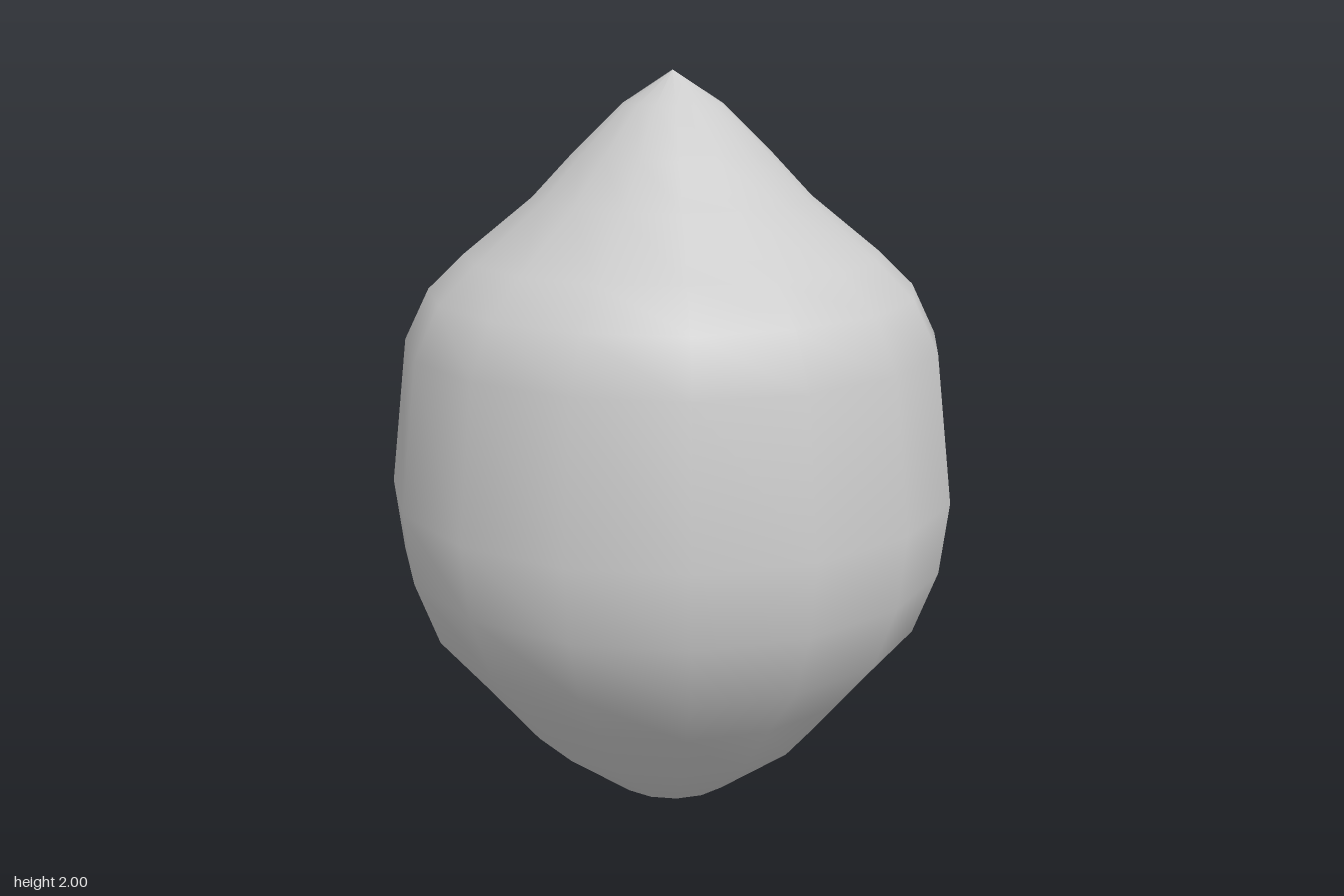
import * as THREE from 'three';

// Lemon-shaped body: [radius, height] from the bottom tip to the top nipple
const PROFILE = [
  [0, 0], [0.18, 0.08], [0.4, 0.26], [0.54, 0.44], [0.66, 0.59],
  [0.72, 0.76], [0.74, 0.95], [0.69, 1.33], [0.625, 1.46], [0.53, 1.55],
  [0.355, 1.69], [0.25, 1.8], [0.125, 1.92], [0, 2],
];
const SIDES = 16;

export function createModel() {
  const group = new THREE.Group();
  group.name = 'lemon';

  const points = PROFILE.map(([r, y]) => new THREE.Vector2(r, y));
  const body = new THREE.Mesh(
    new THREE.LatheGeometry(points, SIDES),
    new THREE.MeshStandardMaterial({ color: 0xcccccc }),
  );
  body.name = 'fruitBody';
  group.add(body);

  return group;
}
